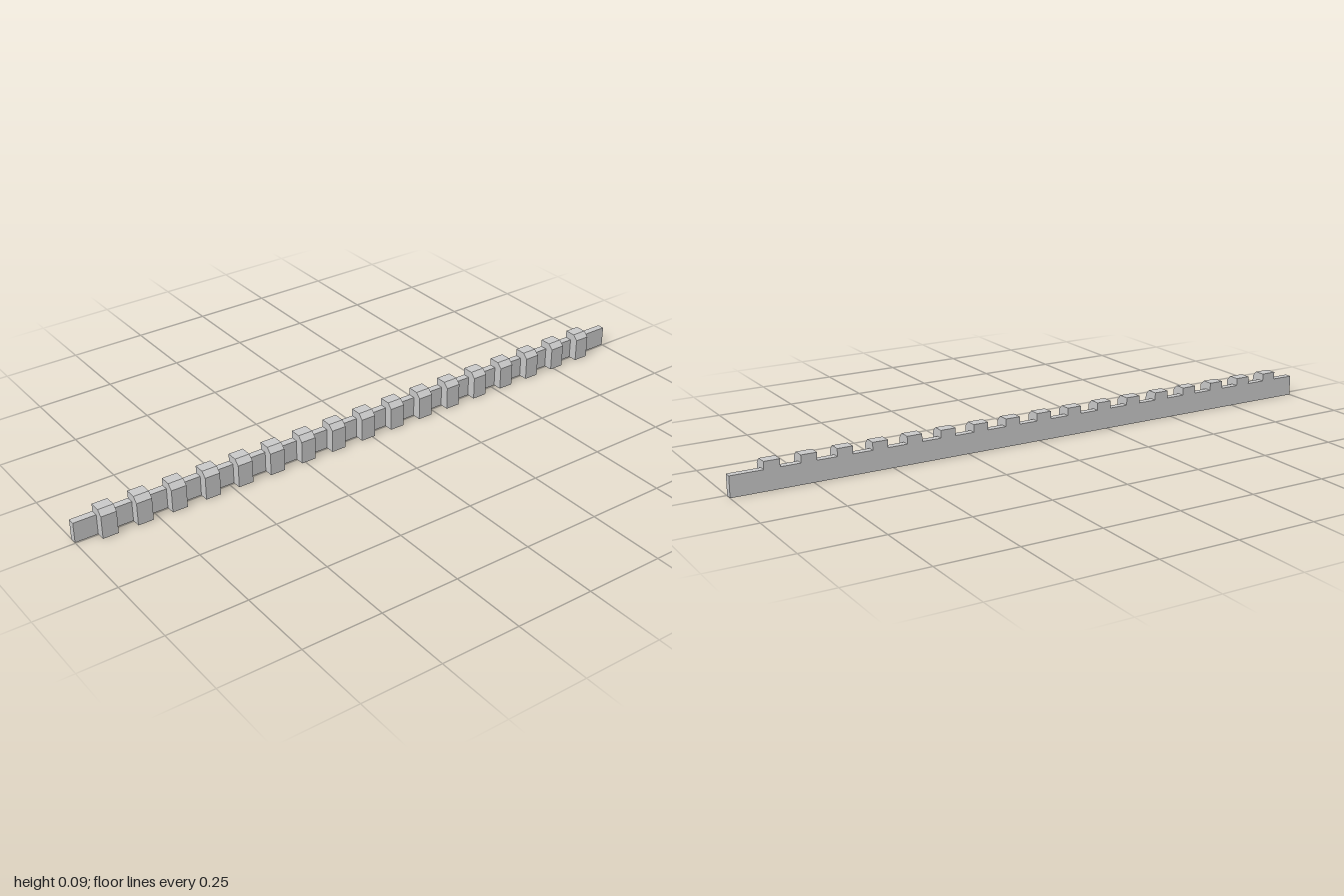
import * as THREE from 'three';

const LENGTH = 2, WALL_HEIGHT = 0.065, BACK = -0.026, WALL_FRONT = -0.003;
const POSTS = 17, PITCH = 1 / 9, POST_WIDTH = 0.049, FIRST_Z = 0.904;

export function createModel() {
  const group = new THREE.Group();
  const material = new THREE.MeshStandardMaterial({ color: 0xcccccc, flatShading: true });

  // Long low wall
  const thickness = WALL_FRONT - BACK;
  const wall = new THREE.Mesh(new THREE.BoxGeometry(thickness, WALL_HEIGHT, LENGTH), material);
  wall.name = 'wall';
  wall.position.set(BACK + thickness / 2, WALL_HEIGHT / 2, 0);
  group.add(wall);

  // Post profile: flush with the wall's back, chamfered at the outer top edge
  const profile = new THREE.Shape([
    [BACK, 0], [0.026, 0], [0.026, 0.073], [0.01, 0.089], [BACK, 0.089],
  ].map(([x, y]) => new THREE.Vector2(x, y)));
  const postGeometry = new THREE.ExtrudeGeometry(profile, { depth: POST_WIDTH, bevelEnabled: false });
  postGeometry.translate(0, 0, -POST_WIDTH / 2);

  // Evenly spaced row of posts
  const posts = new THREE.Group();
  posts.name = 'posts';
  for (let i = 0; i < POSTS; i++) {
    const post = new THREE.Mesh(postGeometry, material);
    post.name = `post${i + 1}`;
    post.position.z = FIRST_Z - i * PITCH;
    posts.add(post);
  }
  group.add(posts);
  return group;
}
